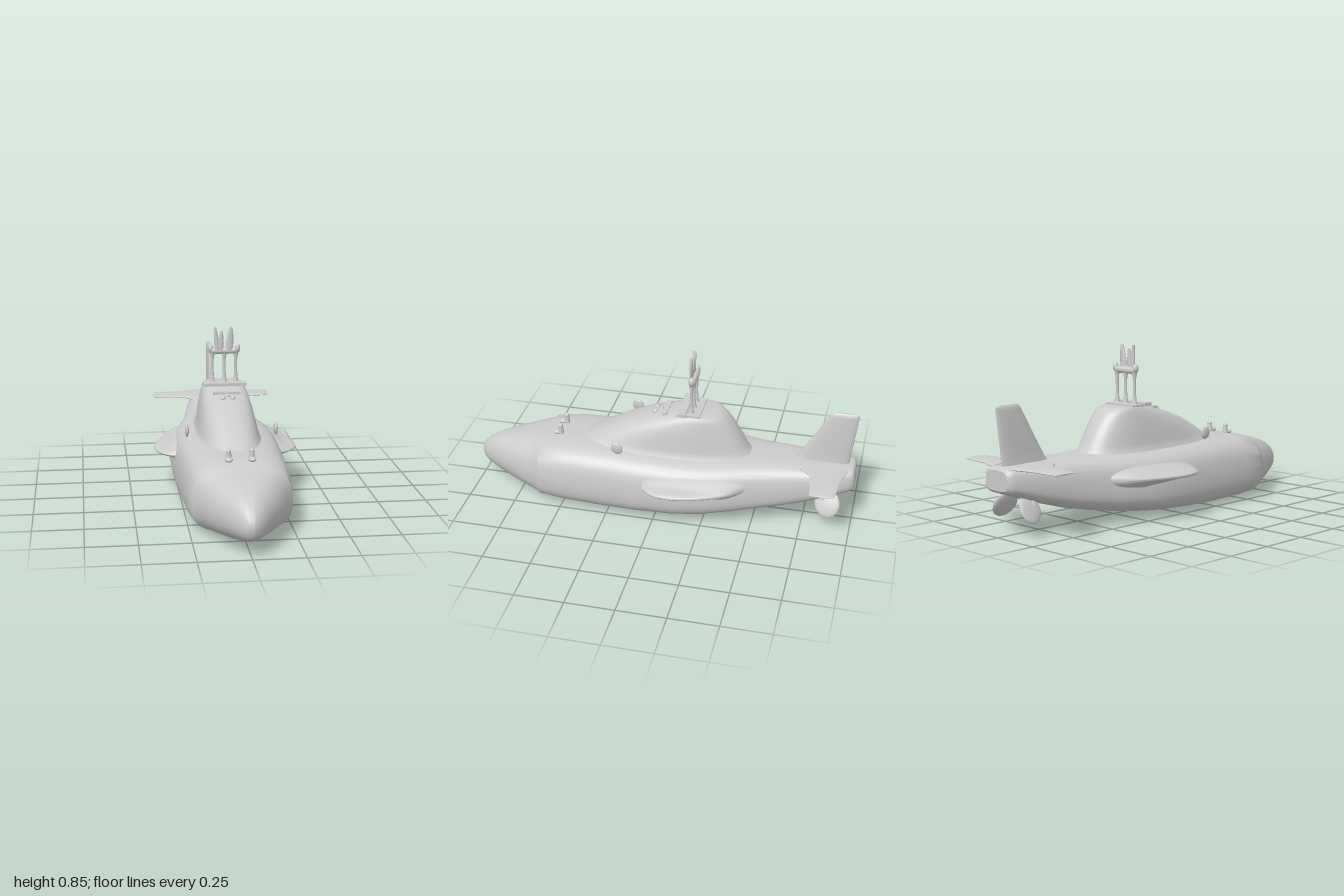
import * as THREE from 'three';
import { toCreasedNormals } from 'three/addons/utils/BufferGeometryUtils.js';

const material = new THREE.MeshStandardMaterial({ color: 0xcccccc });
const V = (x, y, z) => new THREE.Vector3(x, y, z);
const spow = (v, e) => Math.sign(v) * Math.pow(Math.abs(v), e);

// Rounded-box outline: calls place(u, v) with u, v in -1..1
function ring(n, exponent, place) {
  return Array.from({ length: n }, (_, i) => {
    const a = (i / n) * Math.PI * 2;
    return place(spow(Math.cos(a), 2 / exponent), spow(Math.sin(a), 2 / exponent));
  });
}

// Skin a list of closed rings and cap both ends, facing outwards
function loft(rings, crease = 0.6) {
  const n = rings[0].length, last = rings.length - 1, pts = rings.flat(), idx = [];
  for (let r = 0; r < last; r++) for (let i = 0; i < n; i++) {
    const a = r * n + i, b = r * n + (i + 1) % n;
    idx.push(a, b, a + n, b, b + n, a + n);
  }
  for (const r of [0, last]) {
    const mid = rings[r].reduce((s, p) => s.add(p), V(0, 0, 0)).divideScalar(n);
    pts.push(mid);
    for (let i = 0; i < n; i++) {
      const a = r * n + i, b = r * n + (i + 1) % n;
      idx.push(pts.length - 1, ...(r ? [a, b] : [b, a]));
    }
  }
  let volume = 0;
  for (let i = 0; i < idx.length; i += 3)
    volume += pts[idx[i]].dot(V(0, 0, 0).crossVectors(pts[idx[i + 1]], pts[idx[i + 2]]));
  if (volume < 0) idx.reverse();
  const g = new THREE.BufferGeometry().setFromPoints(pts);
  g.setIndex(idx);
  return toCreasedNormals(g, crease);
}

export function createModel() {
  const model = new THREE.Group();
  const add = (name, geometry, x = 0, y = 0, z = 0) => {
    const m = new THREE.Mesh(geometry, material);
    m.name = name;
    m.position.set(x, y, z);
    model.add(m);
    return m;
  };

  // Hull stations: z, half width, bottom, top, squareness
  const stations = [
    [1, 0.012, 0.13, 0.165, 2], [0.99, 0.03, 0.1, 0.19, 2], [0.96, 0.06, 0.077, 0.222, 2.1],
    [0.9, 0.096, 0.055, 0.255, 2.2], [0.8, 0.153, 0.03, 0.288, 2.4], [0.7, 0.203, 0.014, 0.312, 2.7],
    [0.635, 0.232, 0.007, 0.324, 3], [0.62, 0.245, 0.006, 0.33, 3.2], [0.5, 0.26, 0.004, 0.342, 3.5],
    [0.3, 0.27, 0.003, 0.345, 3.7], [0.1, 0.28, 0.009, 0.343, 3.8], [-0.1, 0.285, 0.02, 0.341, 3.8],
    [-0.25, 0.27, 0.035, 0.34, 3.8], [-0.4, 0.23, 0.055, 0.34, 3.8], [-0.5, 0.2, 0.072, 0.34, 3.8],
    [-0.65, 0.172, 0.103, 0.34, 3.8], [-0.8, 0.145, 0.147, 0.34, 3.8], [-0.9, 0.122, 0.182, 0.339, 3.8],
    [-0.97, 0.102, 0.207, 0.337, 4], [-0.99, 0.093, 0.214, 0.333, 4], [-1, 0.08, 0.225, 0.322, 4],
  ];
  add('hull', loft(stations.map(([z, w, lo, hi, e]) => ring(72, e, (u, v) =>
    V(u * w * (1 - 0.09 * Math.max(0, v)), (lo + hi) / 2 + v * (hi - lo) / 2, z)))));

  // Conning tower levels: y, front z, back z, half width
  const levels = [
    [0.32, 0.45, -0.49, 0.172], [0.345, 0.41, -0.458, 0.156], [0.37, 0.365, -0.442, 0.15],
    [0.41, 0.295, -0.42, 0.144], [0.46, 0.2, -0.39, 0.134], [0.5, 0.1, -0.362, 0.124],
    [0.525, 0.01, -0.34, 0.116], [0.54, -0.05, -0.322, 0.11], [0.55, -0.085, -0.3, 0.104],
    [0.553, -0.1, -0.28, 0.094],
  ];
  add('conningTower', loft(levels.map(([y, front, back, w]) => ring(56, 2.5, (u, v) =>
    V(u * w, y, (front + back) / 2 + v * (front - back) / 2)))));

  // Bridge lip and small deck fittings
  add('bridgeLip', new THREE.BoxGeometry(0.225, 0.016, 0.045), 0, 0.56, -0.115);
  add('bridgeDeck', new THREE.BoxGeometry(0.2, 0.012, 0.09), 0, 0.554, -0.165);
  add('bridgeStep', new THREE.BoxGeometry(0.14, 0.014, 0.025), 0, 0.533, -0.02);
  for (const [x, z] of [[0, 0.01], [-0.025, 0.035], [0.025, 0.035]])
    add('towerFitting', new THREE.SphereGeometry(0.014, 12, 8), x, 0.525 - z * 0.2, z);

  // Periscope masts with a shared crossbar
  for (const x of [-0.06, 0.003, 0.064]) {
    const profile = [[0.02, 0], [0.012, 0.015], [0.008, 0.06], [0.008, 0.13], [0.015, 0.17]];
    const pole = new THREE.LatheGeometry(profile.map(p => new THREE.Vector2(...p)), 12);
    add('mast', pole, x, 0.555, -0.16).material = material;
  }
  const bar = new THREE.CapsuleGeometry(0.018, 0.11, 6, 12).rotateZ(Math.PI / 2);
  add('mastCrossbar', bar, 0, 0.729, -0.16);
  for (const x of [-0.068, 0.074])
    add('crossbarEnd', new THREE.SphereGeometry(0.014, 12, 8).scale(1, 1.7, 1.2), x, 0.74, -0.16);

  // Mast heads: base x, top x, top y, half width
  for (const [x0, x1, top, w] of [[-0.034, -0.045, 0.856, 0.014], [-0.018, -0.012, 0.836, 0.016],
    [0.026, 0.038, 0.856, 0.021]]) {
    add('mastHead', loft([[0, 0.8], [0.35, 1], [0.75, 0.7], [1, 0.25]].map(([t, s]) =>
      ring(14, 2, (u, v) => V(x0 + (x1 - x0) * t + u * w * s, 0.725 + (top - 0.725) * t,
        -0.15 + v * 0.009)))));
  }

  // Rudder fin: y, leading z, trailing z, half thickness
  const fin = [[0.31, -0.67, -0.965, 0.03], [0.345, -0.7, -0.968, 0.024], [0.4, -0.735, -0.973, 0.021],
    [0.6, -0.85, -0.997, 0.014], [0.615, -0.86, -0.998, 0.012], [0.622, -0.872, -0.99, 0.006]];
  add('rudder', loft(fin.map(([y, lead, trail, w]) => ring(28, 2.6, (u, v) =>
    V(u * w, y, (lead + trail) / 2 + v * (lead - trail) / 2)))));

  // Side wing sections: x, front z, back z, half thickness
  const wing = [[0.17, 0.06, -0.5, 0.07], [0.26, 0.06, -0.415, 0.052], [0.29, 0.052, -0.375, 0.028],
    [0.32, 0.035, -0.315, 0.019], [0.35, 0, -0.235, 0.014], [0.367, -0.04, -0.165, 0.009],
    [0.373, -0.08, -0.125, 0.004]];
  // Tail plane sections in the same form
  const plane = [[0.06, -0.72, -0.97, 0.012], [0.105, -0.73, -0.965, 0.011], [0.145, -0.775, -0.95, 0.01],
    [0.17, -0.79, -0.942, 0.009], [0.32, -0.803, -0.928, 0.007], [0.328, -0.806, -0.924, 0.005],
    [0.333, -0.815, -0.915, 0.002]];
  const foil = (sections, y, side) => loft(sections.map(([x, front, back, h]) => ring(32, 2.3, (u, v) =>
    V(x * side, y + v * h, (front + back) / 2 + u * (front - back) / 2))));

  for (const side of [1, -1]) {
    add('sideWing', foil(wing, 0.228, side));
    add('tailPlane', foil(plane, 0.33, side));

    // Canted blade below the stern
    const blade = add('sternBlade', new THREE.SphereGeometry(1, 20, 14).scale(0.014, 0.072, 0.066),
      0.092 * side, 0.134, -0.878);
    blade.rotation.set(0.25, 0, 0.5 * side);
    const stem = add('bladeStem', new THREE.CylinderGeometry(0.02, 0.012, 0.08, 12), 0.07 * side, 0.18, -0.85);
    stem.rotation.z = 0.5 * side;

    // Free-standing side lamp and bow bollard
    const lamp = add('sideLamp', new THREE.SphereGeometry(1, 16, 12).scale(0.01, 0.033, 0.031),
      0.225 * side, 0.395, 0.19);
    lamp.rotation.x = 0.3;
    add('bollard', new THREE.CylinderGeometry(0.011, 0.017, 0.05, 12), 0.056 * side, 0.362, 0.54);
    add('bollardCap', new THREE.SphereGeometry(0.013, 12, 8), 0.056 * side, 0.381, 0.54);
    add('bollardFoot', new THREE.SphereGeometry(0.02, 12, 8).scale(1, 0.6, 1.2), 0.056 * side, 0.345, 0.56);
  }
  return model;
}
